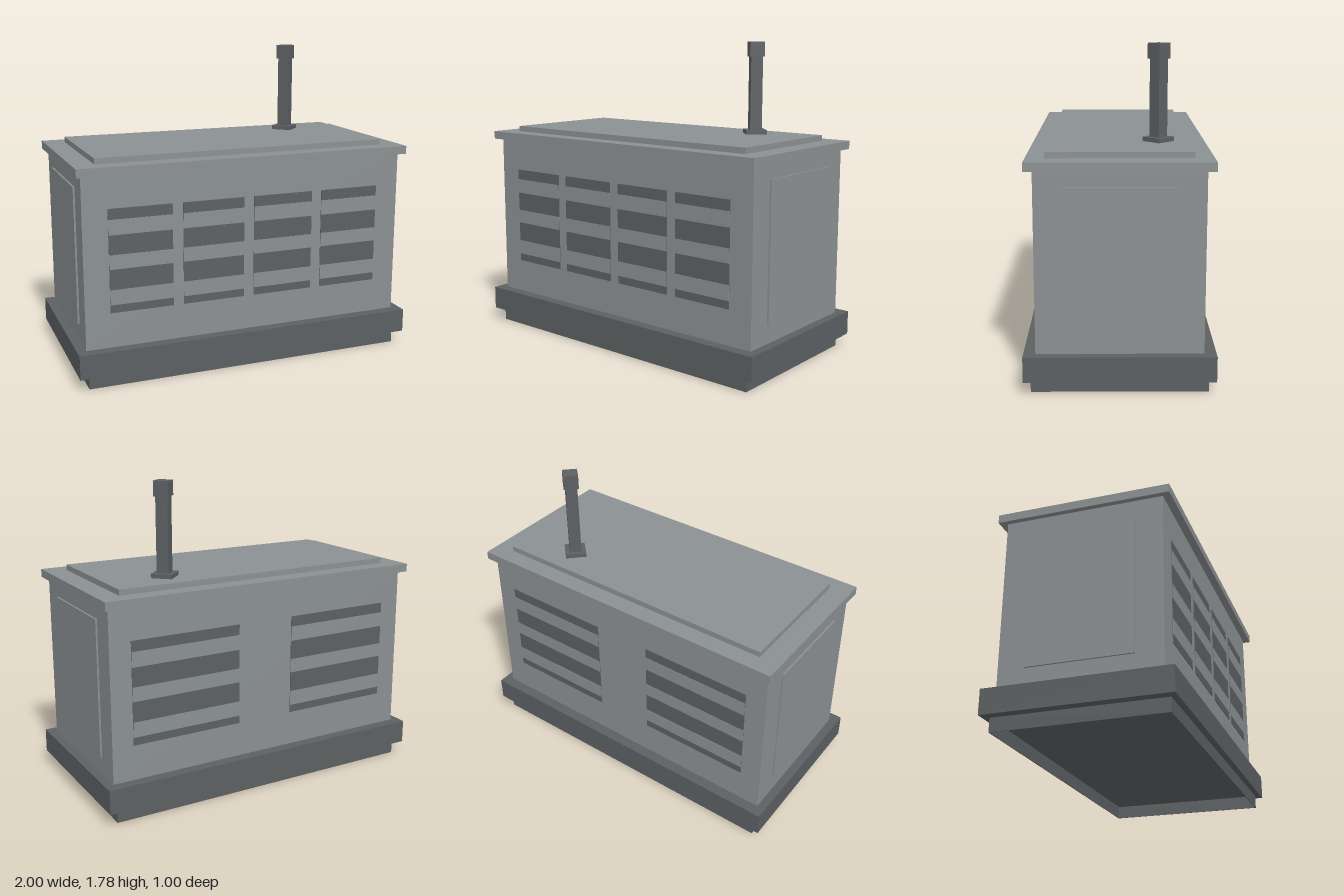
import * as THREE from 'three';

const material = (name, color) => {
  const m = new THREE.MeshStandardMaterial({ color });
  m.name = name;
  return m;
};

export function createModel() {
  const model = new THREE.Group();
  model.name = 'generator';
  const light = material('light grey paint', 0x8b9092);
  const dark = material('dark grey metal', 0x5c6062);

  const add = (name, geometry, mat, parent = model) => {
    const mesh = new THREE.Mesh(geometry, mat);
    mesh.name = name;
    parent.add(mesh);
    return mesh;
  };
  // Box given by its extents along each axis
  const box = (name, mat, [x0, x1], [y0, y1], [z0, z1], parent) => {
    const mesh = add(name, new THREE.BoxGeometry(x1 - x0, y1 - y0, z1 - z0), mat, parent);
    mesh.position.set((x0 + x1) / 2, (y0 + y1) / 2, (z0 + z1) / 2);
    return mesh;
  };
  const rectangle = (Type, w, d) => {
    const r = new Type();
    r.moveTo(-w, -d).lineTo(w, -d).lineTo(w, d).lineTo(-w, d).closePath();
    return r;
  };

  // Skirt: thin-walled frame, open underneath
  const skirt = rectangle(THREE.Shape, 0.945, 0.465);
  skirt.holes.push(rectangle(THREE.Path, 0.941, 0.461));
  const skirtGeometry = new THREE.ExtrudeGeometry(skirt, { depth: 0.075, bevelEnabled: false });
  add('skirt', skirtGeometry.rotateX(-Math.PI / 2), dark);

  // Base, housing and stepped roof
  box('base', dark, [-1, 1], [0.075, 0.212], [-0.5, 0.5]);
  box('housing', light, [-0.95, 0.95], [0.212, 1.175], [-0.437, 0.437]);
  box('roof', light, [-0.98, 0.98], [1.175, 1.222], [-0.48, 0.48]);
  box('roofPanel', light, [-0.86, 0.86], [1.222, 1.254], [-0.38, 0.38]);

  // Access panels on both ends
  for (const s of [-1, 1]) {
    const x = [0.95 * s, 0.96 * s].sort((a, b) => a - b);
    box(s > 0 ? 'leftDoor' : 'rightDoor', light, x, [0.315, 1.09], [-0.29, 0.29]);
  }

  // Vents: a dark plate with light slats on it
  const slats = [[0.455, 0.54], [0.655, 0.735], [0.845, 0.93]];
  const vent = (name, centre, width, side) => {
    const group = new THREE.Group();
    group.name = name;
    const x = [-width / 2, width / 2];
    box('ventOpening', dark, x, [0.41, 0.99], [0, 0.003], group);
    for (const y of slats) box('ventSlat', light, x, y, [0.003, 0.005], group);
    group.position.set(centre, 0, 0.437 * side);
    if (side < 0) group.rotation.y = Math.PI;
    model.add(group);
  };
  for (let i = 0; i < 4; i++) vent('frontVent', (i - 1.5) * 0.42, 0.36, 1);
  for (const s of [-1, 1]) vent('backVent', s * 0.5, 0.655, -1);

  // Exhaust: square sections turned on their corners
  const exhaust = new THREE.Group();
  exhaust.name = 'exhaust';
  exhaust.position.set(0.514, 0, -0.21);
  model.add(exhaust);
  const section = (name, radius, y0, y1) => {
    const geometry = new THREE.CylinderGeometry(radius, radius, y1 - y0, 4).toNonIndexed();
    geometry.computeVertexNormals();
    add(name, geometry, dark, exhaust).position.y = (y0 + y1) / 2;
  };
  section('exhaustFlange', 0.084, 1.25, 1.278);
  section('exhaustPipe', 0.048, 1.278, 1.7);
  section('exhaustCap', 0.06, 1.695, 1.778);

  return model;
}
